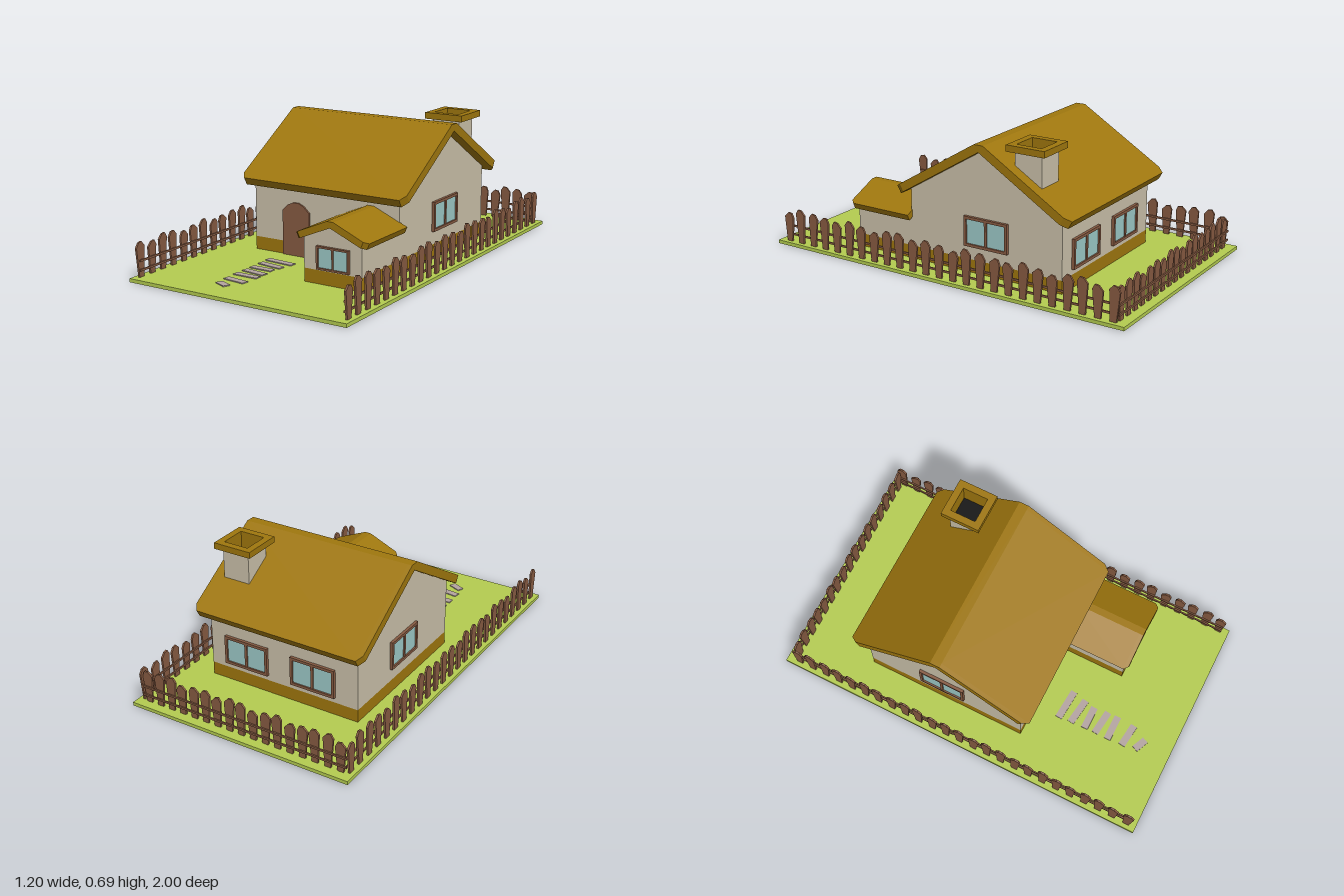
import * as THREE from 'three';

const mat = (name, color) => {
  const m = new THREE.MeshStandardMaterial({ color });
  m.name = name;
  return m;
};
const M = {
  grass: mat('grass', 0xb4cc50),
  wall: mat('plaster', 0xcbc1aa),
  thatch: mat('thatch', 0x9f770e),
  wood: mat('wood', 0x875b42),
  glass: mat('glass', 0x9dcac8),
  stone: mat('stone', 0xb3a3a0),
  soot: mat('soot', 0x101010),
};

const mesh = (parent, name, geo, material) => {
  const m = new THREE.Mesh(geo, material);
  m.name = name;
  parent.add(m);
  return m;
};

// Box given by its minimum and maximum on each axis
const box = (parent, name, [x0, x1], [y0, y1], [z0, z1], material) => {
  const m = mesh(parent, name, new THREE.BoxGeometry(x1 - x0, y1 - y0, z1 - z0), material);
  m.position.set((x0 + x1) / 2, (y0 + y1) / 2, (z0 + z1) / 2);
  return m;
};

const shapeOf = (pts) => new THREE.Shape(pts.map(([x, y]) => new THREE.Vector2(x, y)));
const extrude = (pts, depth) =>
  new THREE.ExtrudeGeometry(shapeOf(pts), { depth, bevelEnabled: false });

// Gabled roof shell: lofts a chevron section along z; each station is [z, eave inset]
function roofGeometry(stations, { eave, eaveY, ridge, ridgeY, lowEave, lowY, lowRidgeY }) {
  const slope = (ridgeY - eaveY) / (eave - ridge);
  const loops = stations.map(([z, d]) => {
    const tu = eave - d, ty = eaveY + slope * d, bu = lowEave - d, by = lowY + slope * d;
    return [[-bu, by], [0, lowRidgeY], [bu, by], [tu, ty], [ridge, ridgeY], [-ridge, ridgeY], [-tu, ty]]
      .map(([x, y]) => new THREE.Vector3(x, y, z));
  });
  const pos = [];
  const tri = (...v) => v.forEach((p) => pos.push(p.x, p.y, p.z));
  for (let s = 0; s < loops.length - 1; s++) {
    const a = loops[s], b = loops[s + 1];
    a.forEach((p, i) => {
      const j = (i + 1) % a.length;
      tri(p, a[j], b[j]);
      tri(p, b[j], b[i]);
    });
  }
  const first = loops[0], last = loops[loops.length - 1];
  const flat = last.map((p) => new THREE.Vector2(p.x, p.y));
  for (const [i, j, k] of THREE.ShapeUtils.triangulateShape(flat, [])) {
    tri(last[i], last[j], last[k]);
    tri(first[k], first[j], first[i]);
  }
  const g = new THREE.BufferGeometry();
  g.setAttribute('position', new THREE.Float32BufferAttribute(pos, 3));
  g.computeVertexNormals();
  return g;
}

// Two-pane window facing +z, centred on its own origin
function makeWindow(parent, name, w, h, bar, position, turn) {
  const g = new THREE.Group();
  g.name = name;
  const x = w / 2, y = h / 2, depth = [-0.005, 0.015];
  for (const s of [-1, 1]) {
    const side = box(g, 'frameSide', [-bar / 2, bar / 2], [-y, y], depth, M.wood);
    side.position.x = s * (x - bar / 2);
    const rail = box(g, 'frameRail', [-x + bar, x - bar], [-bar / 2, bar / 2], depth, M.wood);
    rail.position.y = s * (y - bar / 2);
  }
  box(g, 'mullion', [-bar / 2, bar / 2], [-y + bar, y - bar], [-0.005, 0.013], M.wood);
  box(g, 'glass', [-x + bar, x - bar], [-y + bar, y - bar], [0, 0.007], M.glass);
  g.position.set(...position);
  g.rotation.y = turn;
  parent.add(g);
}

// Pickets flare upward and end in an uneven point
const picket = (h, lean) => extrude([
  [-0.016, 0], [0.016, 0], [0.028, h - 0.028], [0.012 + lean, h - 0.004],
  [lean - 0.008, h], [-0.027, h - 0.022],
], 0.01);
const PICKETS = [picket(0.152, 0.004), picket(0.177, -0.004), picket(0.165, 0.006), picket(0.172, 0), picket(0.158, -0.006)];
const ORDER = [0, 1, 3, 2, 4, 1, 2, 0, 3, 1, 4, 3, 2];

function makeFence(parent, name, length, count, first, last, position, turn) {
  const g = new THREE.Group();
  g.name = name;
  for (let i = 0; i < count; i++) {
    const p = mesh(g, 'picket', PICKETS[ORDER[i % ORDER.length]], M.wood);
    p.position.set(first + (last - first) * i / (count - 1), 0.018, -0.002);
    p.rotation.z = 0.03 * Math.sin(i * 2.3);
  }
  for (const y of [0.053, 0.099])
    box(g, 'fenceRail', [-length / 2, length / 2], [y - 0.005, y + 0.005], [-0.009, -0.002], M.wood);
  g.position.set(...position);
  g.rotation.y = turn;
  parent.add(g);
}

export function createModel() {
  const root = new THREE.Group();
  root.name = 'cottage';

  box(root, 'lawn', [-0.6, 0.6], [0, 0.018], [-1, 1], M.grass);

  // Main house: plinth, gabled walls and roof with the ridge along x
  box(root, 'housePlinth', [-0.4, 0.43], [0.018, 0.084], [-0.585, 0.27], M.thatch);
  const gable = extrude([[-0.43, 0.084], [0.425, 0.084], [0.425, 0.385], [0, 0.645], [-0.43, 0.382]], 0.83);
  const walls = mesh(root, 'houseWalls', gable.rotateY(Math.PI / 2), M.wall);
  walls.position.set(-0.4, 0, -0.16);
  const mainRoof = roofGeometry([[-0.45, 0.032], [-0.427, 0], [0.462, 0], [0.485, 0.032]],
    { eave: 0.491, eaveY: 0.392, ridge: 0.025, ridgeY: 0.676, lowEave: 0.47, lowY: 0.355, lowRidgeY: 0.641 });
  mesh(root, 'houseRoof', mainRoof.rotateY(Math.PI / 2), M.thatch).position.z = -0.162;

  // Front wing with its ridge along z
  box(root, 'wingPlinth', [0.115, 0.4299], [0.018, 0.084], [0.26, 0.6], M.thatch);
  const wing = mesh(root, 'wingWalls',
    extrude([[-0.158, 0.084], [0.1569, 0.084], [0.1569, 0.235], [0, 0.304], [-0.158, 0.235]], 0.34), M.wall);
  wing.position.set(0.273, 0, 0.26);
  const wingRoof = roofGeometry([[0.265, 0], [0.605, 0], [0.626, 0.02]],
    { eave: 0.198, eaveY: 0.252, ridge: 0.018, ridgeY: 0.33, lowEave: 0.184, lowY: 0.222, lowRidgeY: 0.3 });
  mesh(root, 'wingRoof', wingRoof, M.thatch).position.x = 0.273;

  // Arched door
  const door = mesh(root, 'door', extrude([
    [-0.078, 0.018], [0.078, 0.018], [0.078, 0.245], [0.046, 0.275], [0.016, 0.288],
    [-0.016, 0.288], [-0.046, 0.275], [-0.078, 0.245],
  ], 0.015), M.wood);
  door.position.set(-0.153, 0, 0.264);

  // Windows
  makeWindow(root, 'wingWindow', 0.176, 0.112, 0.009, [0.277, 0.147, 0.6], 0);
  makeWindow(root, 'leftWindow', 0.245, 0.15, 0.014, [0.43, 0.227, -0.17], Math.PI / 2);
  makeWindow(root, 'rightWindow', 0.245, 0.15, 0.014, [-0.4, 0.227, -0.17], -Math.PI / 2);
  for (const x of [0.222, -0.155])
    makeWindow(root, 'backWindow', 0.245, 0.15, 0.014, [x, 0.187, -0.585], Math.PI);

  // Hollow chimney: square shaft, overhanging cap, lining and dark floor
  const chimney = new THREE.Group();
  chimney.name = 'chimney';
  chimney.position.set(0.352, 0, -0.397);
  root.add(chimney);
  const square = (r) => [[-r, -r], [r, -r], [r, r], [-r, r]];
  const tube = (name, outer, inner, y0, y1, material) => {
    const s = shapeOf(square(outer));
    s.holes.push(new THREE.Path(square(inner).reverse().map(([x, y]) => new THREE.Vector2(x, y))));
    const g = new THREE.ExtrudeGeometry(s, { depth: y1 - y0, bevelEnabled: false });
    mesh(chimney, name, g.rotateX(-Math.PI / 2), material).position.y = y0;
  };
  tube('chimneyShaft', 0.073, 0.07, 0.46, 0.662, M.wall);
  tube('chimneyLining', 0.0705, 0.067, 0.57, 0.665, M.thatch);
  tube('chimneyCap', 0.103, 0.067, 0.66, 0.692, M.thatch);
  box(chimney, 'chimneyFloor', [-0.07, 0.07], [0.575, 0.582], [-0.07, 0.07], M.soot);

  // Stepping stones: x, z, width, turn
  for (const [x, z, w, turn] of [
    [-0.155, 0.412, 0.16, -0.08], [-0.16, 0.482, 0.14, -0.14], [-0.165, 0.548, 0.122, 0],
    [-0.16, 0.615, 0.13, -0.12], [-0.16, 0.677, 0.132, 0], [-0.16, 0.764, 0.122, -0.12],
    [-0.175, 0.84, 0.072, -0.42],
  ]) {
    const s = mesh(root, 'steppingStone', new THREE.BoxGeometry(w, 0.006, 0.036), M.stone);
    s.position.set(x, 0.02, z);
    s.rotation.y = turn;
  }

  // Picket fence on three sides
  makeFence(root, 'backFence', 1.14, 17, -0.535, 0.535, [0, 0, -0.952], 0);
  makeFence(root, 'leftFence', 1.91, 25, -0.935, 0.94, [0.57, 0, 0.007], Math.PI / 2);
  makeFence(root, 'rightFence', 1.91, 25, -0.935, 0.94, [-0.57, 0, 0.007], -Math.PI / 2);

  return root;
}
